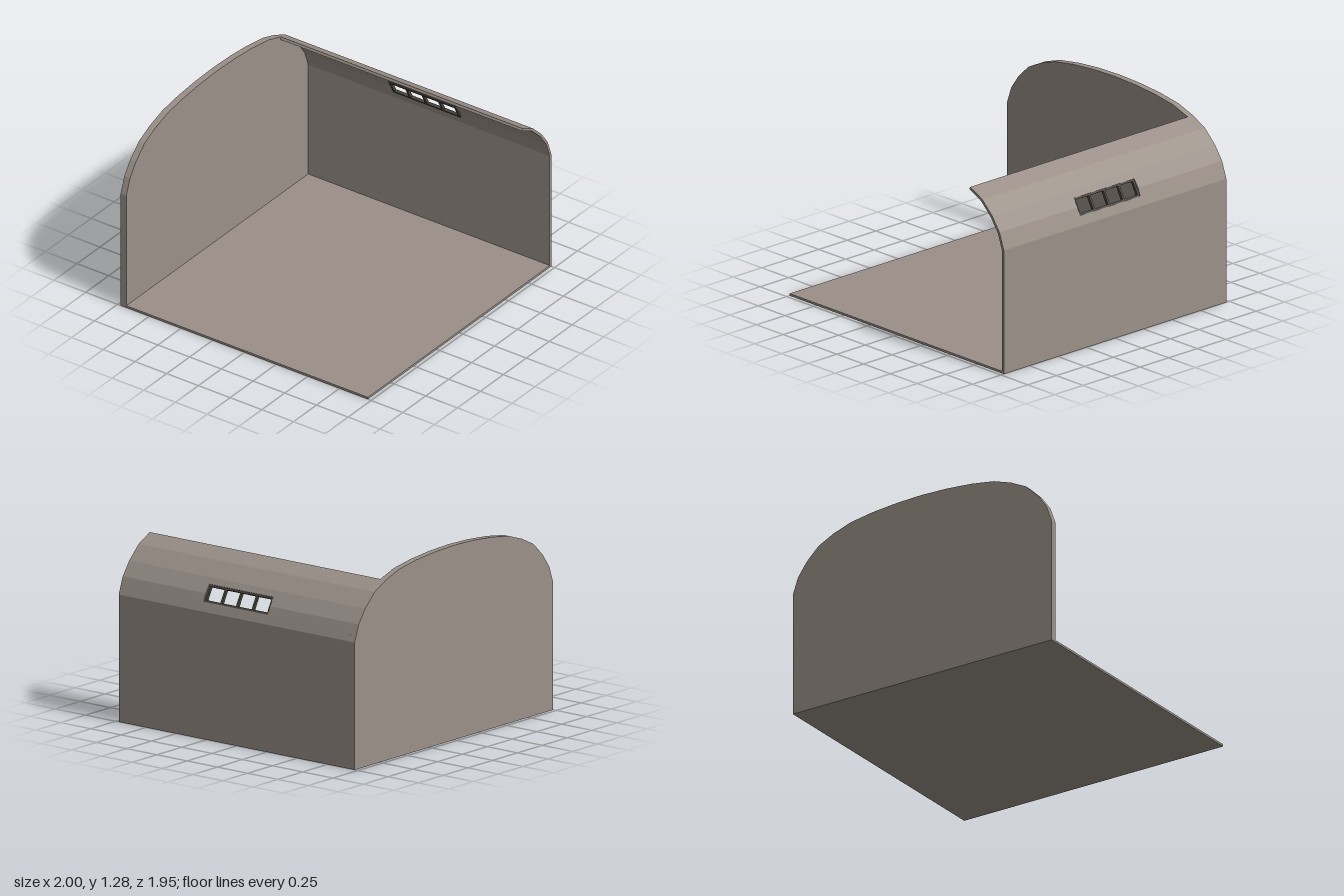
import * as THREE from 'three';

const BACK = -0.975, WALL = -0.93, FRONT = 0.975, SKIN = 0.018;
const stone = new THREE.MeshStandardMaterial({ color: 0x9a9088, flatShading: true });
const iron = new THREE.MeshStandardMaterial({ color: 0x4a4540, flatShading: true });

// right half of the arched outline, from the floor to the crown
const ARCH = [[1, 0], [1, 0.84], [0.96, 0.952], [0.895, 1.043], [0.8, 1.134], [0.687, 1.19],
  [0.553, 1.235], [0.382, 1.262], [0.195, 1.278], [0, 1.284]];

function add(group, name, geometry, material) {
  const mesh = new THREE.Mesh(geometry, material);
  mesh.name = name;
  group.add(mesh);
  return mesh;
}

// offsets a profile to its inner side with mitred corners
function insetProfile(points, distance) {
  const normal = (a, b) => new THREE.Vector2(b.y - a.y, a.x - b.x).normalize();
  return points.map((p, i) => {
    const n0 = normal(points[Math.max(i - 1, 0)], points[Math.max(i, 1)]);
    const last = points.length - 1;
    const n1 = normal(points[Math.min(i, last - 1)], points[Math.min(i + 1, last)]);
    const n = n0.clone().add(n1).normalize();
    return p.clone().addScaledVector(n, -distance / n.dot(n0));
  });
}

// thick skin swept along z, leaving out the cells where isHole(i, j) is true
function shellGeometry(outer, stations, thickness, isHole) {
  const inner = insetProfile(outer, thickness);
  const position = [];
  const quad = (...c) => [0, 1, 2, 0, 2, 3].forEach(k => position.push(...c[k]));
  const O = (i, j) => [outer[i].x, outer[i].y, stations[j]];
  const I = (i, j) => [inner[i].x, inner[i].y, stations[j]];
  const rows = outer.length - 1, cols = stations.length - 1;
  const solid = (i, j) => i >= 0 && j >= 0 && i < rows && j < cols && !isHole(i, j);
  for (let i = 0; i < rows; i++) {
    for (let j = 0; j < cols; j++) {
      if (!solid(i, j)) continue;
      const u = i + 1, v = j + 1;
      quad(O(i, j), O(u, j), O(u, v), O(i, v));
      quad(I(i, j), I(i, v), I(u, v), I(u, j));
      if (!solid(i, v)) quad(O(i, v), O(u, v), I(u, v), I(i, v));
      if (!solid(i, j - 1)) quad(O(i, j), I(i, j), I(u, j), O(u, j));
      if (!solid(u, j)) quad(O(u, j), I(u, j), I(u, v), O(u, v));
      if (!solid(i - 1, j)) quad(O(i, j), O(i, v), I(i, v), I(i, j));
    }
  }
  const geometry = new THREE.BufferGeometry();
  geometry.setAttribute('position', new THREE.Float32BufferAttribute(position, 3));
  geometry.computeVertexNormals();
  return geometry;
}

export function createModel() {
  const model = new THREE.Group();
  model.name = 'vaultedRoom';

  // floor slab
  const floor = add(model, 'floor', new THREE.BoxGeometry(2 - SKIN, 0.015, FRONT - WALL), stone);
  floor.position.set(-SKIN / 2, 0.0075, (FRONT + WALL) / 2);

  // arched back wall, mirrored about the crown
  const outline = [...ARCH, ...ARCH.slice(0, -1).reverse().map(([x, y]) => [-x, y])];
  const wallShape = new THREE.Shape(outline.map(([x, y]) => new THREE.Vector2(x, y)));
  const wall = new THREE.ExtrudeGeometry(wallShape, { depth: WALL - BACK, bevelEnabled: false });
  add(model, 'backWall', wall, stone).position.z = BACK;

  // side wall curving into the roof, with a window opening
  const profile = [ARCH[0], ARCH[1], [0.979, 0.9], ARCH[2], [0.922, 1.005], ARCH[3], ARCH[4], ARCH[5]]
    .map(([x, y]) => new THREE.Vector2(x, y));
  const winBack = -0.24, winFront = 0.29;
  const shell = shellGeometry(profile, [WALL, winBack, winFront, FRONT], SKIN,
    (i, j) => j === 1 && (i === 2 || i === 3));
  add(model, 'sideWall', shell, stone);

  // tilted window frame with four panes
  const length = winFront - winBack, height = 0.119, rim = 0.014, bar = 0.014, depth = 0.02;
  const rect = (shape, x0, y0, x1, y1) =>
    shape.moveTo(x0, y0).lineTo(x1, y0).lineTo(x1, y1).lineTo(x0, y1).closePath();
  const frame = rect(new THREE.Shape(), -length / 2, -height / 2, length / 2, height / 2);
  const pane = (length - 2 * rim - 3 * bar) / 4;
  for (let k = 0; k < 4; k++) {
    const x = -length / 2 + rim + k * (pane + bar);
    frame.holes.push(rect(new THREE.Path(), x, -height / 2 + rim, x + pane, height / 2 - rim));
  }
  const frameGeometry = new THREE.ExtrudeGeometry(frame, { depth, bevelEnabled: false })
    .translate(0, 0, -depth / 2).rotateY(Math.PI / 2);
  const windowFrame = add(model, 'windowFrame', frameGeometry, iron);
  windowFrame.position.set(0.938, 0.946, (winFront + winBack) / 2);
  windowFrame.rotation.z = 0.5;

  return model;
}
